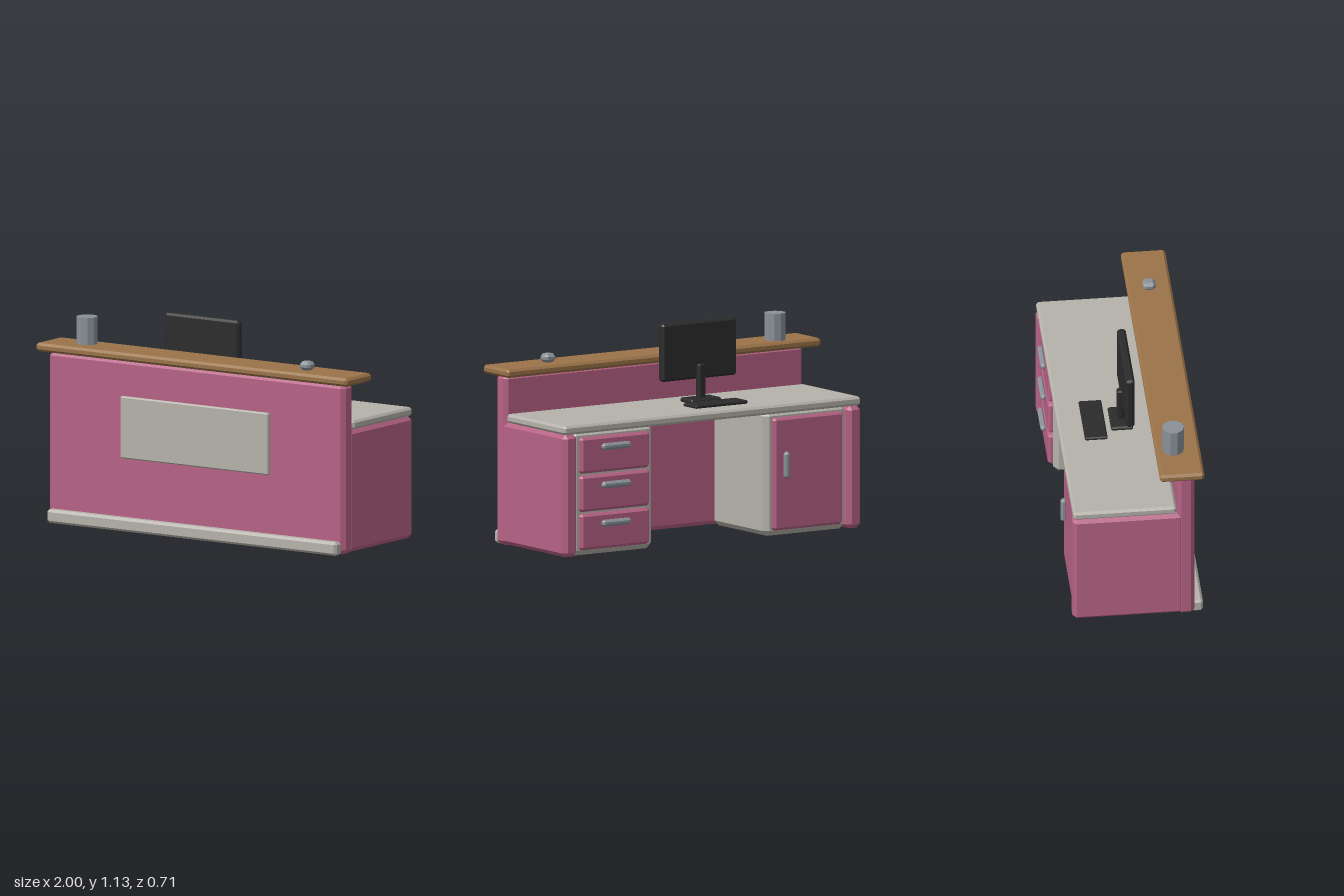
import * as THREE from 'three';
import { ConvexGeometry } from 'three/addons/geometries/ConvexGeometry.js';

const material = (name, color) => {
  const m = new THREE.MeshStandardMaterial({ color });
  m.name = name;
  return m;
};

// Box between two limits on each axis, with flat bevels of width c on all edges
function bevelBox([x0, x1], [y0, y1], [z0, z1], c) {
  const half = [(x1 - x0) / 2, (y1 - y0) / 2, (z1 - z0) / 2];
  const points = [];
  for (const sx of [-1, 1]) for (const sy of [-1, 1]) for (const sz of [-1, 1]) {
    const s = [sx, sy, sz];
    for (let axis = 0; axis < 3; axis++) {
      // each corner becomes three points, one on each adjoining face
      const p = half.map((h, i) => s[i] * (i === axis ? h : h - c));
      points.push(new THREE.Vector3(...p));
    }
  }
  const geometry = new ConvexGeometry(points);
  geometry.translate((x0 + x1) / 2, (y0 + y1) / 2, (z0 + z1) / 2);
  return geometry;
}

export function createModel() {
  const pink = material('pink panel', 0xb66284);
  const pale = material('pale laminate', 0xb5b2aa);
  const wood = material('wood', 0x9a7348);
  const black = material('black plastic', 0x2b2b2b);
  const metal = material('grey metal', 0x8a9197);

  const desk = new THREE.Group();
  desk.name = 'receptionDesk';

  const add = (name, geometry, mat, parent = desk) => {
    const mesh = new THREE.Mesh(geometry, mat);
    mesh.name = name;
    parent.add(mesh);
    return mesh;
  };
  const box = (name, mat, x, y, z, c, parent) => add(name, bevelBox(x, y, z, c), mat, parent);
  const around = (centre, size) => [centre - size / 2, centre + size / 2];

  // Front wall with its raised counter, sign board and skirting
  box('frontPanel', pink, [-0.95, 0.95], [0.002, 0.91], [0.215, 0.31], 0.022);
  box('counterTop', wood, [-1, 1], [0.91, 0.955], [0.12, 0.355], 0.013);
  box('signBoard', pale, [-0.475, 0.475], [0.385, 0.717], [0.3, 0.327], 0.007);
  box('skirting', pale, [-0.93, 0.93], [0, 0.072], [0.295, 0.355], 0.013);

  // Work surface
  box('workTop', pale, [-0.945, 0.945], [0.658, 0.705], [-0.334, 0.213], 0.012);

  // End panels and pedestal cabinets, mirrored
  for (const side of [-1, 1]) {
    const span = (a, b) => (side > 0 ? [a, b] : [-b, -a]);
    box('endPanel', pink, span(0.86, 0.948), [0.006, 0.659], [-0.338, 0.255], 0.022);
    box('cabinet', pale, span(0.355, 0.875), [0.003, 0.67], [-0.302, 0.205], 0.028);
  }

  // Three drawers on the left
  const drawers = new THREE.Group();
  drawers.name = 'drawers';
  desk.add(drawers);
  for (let i = 0; i < 3; i++) {
    const y = 0.13 + i * 0.204;
    box('drawerFront', pink, [0.393, 0.835], around(y, 0.192), [-0.328, -0.285], 0.014, drawers);
    box('drawerHandle', metal, around(0.617, 0.185), around(y + 0.04, 0.036), [-0.353, -0.32], 0.012, drawers);
  }

  // Cupboard door on the right
  box('cupboardDoor', pink, [-0.835, -0.393], [0.034, 0.634], [-0.328, -0.285], 0.014);
  box('doorHandle', metal, around(-0.468, 0.036), [0.31, 0.452], [-0.353, -0.32], 0.012);

  // Monitor and keyboard
  const monitor = new THREE.Group();
  monitor.name = 'monitor';
  desk.add(monitor);
  box('screen', black, [-0.385, 0.09], [0.826, 1.133], [0.004, 0.05], 0.012, monitor);
  box('stand', black, around(-0.147, 0.045), [0.715, 0.907], [-0.02, 0.015], 0.008, monitor);
  box('standBase', black, around(-0.147, 0.19), [0.704, 0.728], [-0.06, 0.057], 0.008, monitor);
  box('keyboard', black, [-0.312, 0.022], [0.704, 0.723], [-0.206, -0.086], 0.006);

  // Pen cup and bell on the counter
  const cup = new THREE.CylinderGeometry(0.058, 0.058, 0.145, 10).toNonIndexed();
  cup.computeVertexNormals();
  cup.translate(-0.765, 1.0275, 0.212);
  add('penCup', cup, metal);
  box('bell', metal, around(0.664, 0.07), [0.955, 1.002], around(0.236, 0.068), 0.016);

  return desk;
}
